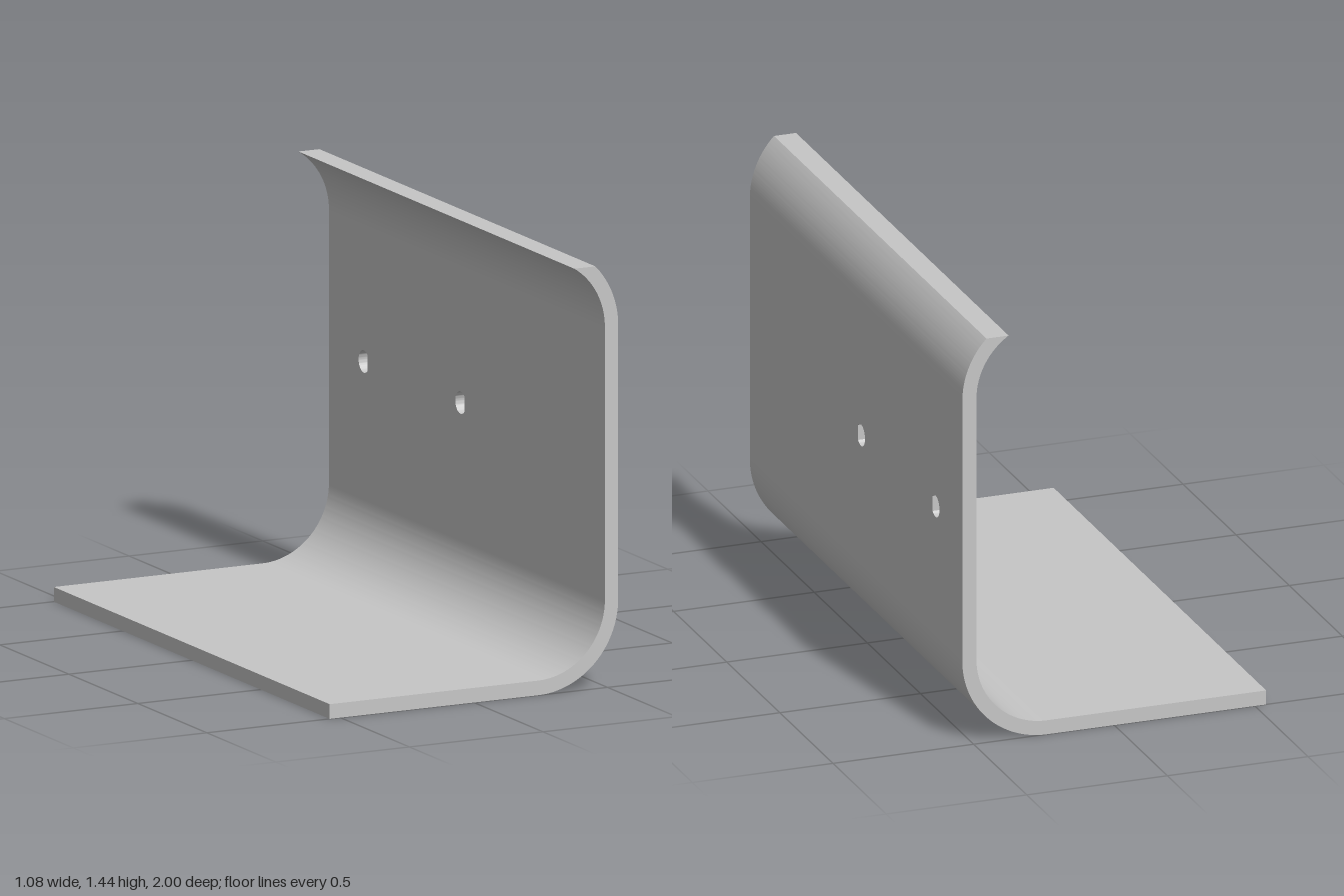
import * as THREE from 'three';
import { toCreasedNormals } from 'three/addons/utils/BufferGeometryUtils.js';

const LENGTH = 2;
const OUTER = 0.54, THICK = 0.05;      // wall's outer face and sheet thickness
const BEND_X = 0.24, R_OUT = 0.3, R_IN = 0.25;
const LOW_Y = 0.3, HIGH_Y = 1.23, TOP_Y = 1.44;

export function createModel() {
  const group = new THREE.Group();
  group.name = 'bracket';
  const steel = new THREE.MeshStandardMaterial({ color: 0xc6c6c6 });
  steel.name = 'grey sheet';

  const add = (name, geometry) => {
    const mesh = new THREE.Mesh(toCreasedNormals(geometry, 0.4), steel);
    mesh.name = name;
    group.add(mesh);
  };
  // Sweeps a front profile along the full length
  const sweep = (shape) => new THREE.ExtrudeGeometry(shape, {
    depth: LENGTH, bevelEnabled: false, curveSegments: 24,
  }).translate(0, 0, -LENGTH / 2);

  // Flat base running into the lower bend
  const base = new THREE.Shape();
  base.moveTo(-OUTER, 0);
  base.lineTo(BEND_X, 0);
  base.absarc(BEND_X, LOW_Y, R_OUT, -Math.PI / 2, 0, false);
  base.lineTo(BEND_X + R_IN, LOW_Y);
  base.absarc(BEND_X, LOW_Y, R_IN, 0, -Math.PI / 2, true);
  base.lineTo(-OUTER, THICK);
  base.closePath();
  add('baseAndBend', sweep(base));

  // Curled upper lip, cut off level at the top
  const rise = TOP_Y - HIGH_Y;
  const lip = new THREE.Shape();
  lip.moveTo(OUTER, HIGH_Y);
  lip.absarc(BEND_X, HIGH_Y, R_OUT, 0, Math.asin(rise / R_OUT), false);
  lip.absarc(BEND_X, HIGH_Y, R_IN, Math.asin(rise / R_IN), 0, true);
  lip.closePath();
  add('upperLip', sweep(lip));

  // Upright wall drawn in z and y, with two teardrop holes pointing to the front
  const wall = new THREE.Shape();
  wall.moveTo(-LENGTH / 2, LOW_Y);
  wall.lineTo(LENGTH / 2, LOW_Y);
  wall.lineTo(LENGTH / 2, HIGH_Y);
  wall.lineTo(-LENGTH / 2, HIGH_Y);
  wall.closePath();
  const holeR = 0.038, holeY = 0.763;
  for (const z of [-0.046, -0.747]) {
    const hole = new THREE.Path();
    hole.moveTo(z + holeR * Math.SQRT2, holeY);
    hole.absarc(z, holeY, holeR, Math.PI / 4, Math.PI * 7 / 4, false);
    hole.closePath();
    wall.holes.push(hole);
  }
  const wallGeometry = new THREE.ExtrudeGeometry(wall, {
    depth: THICK, bevelEnabled: false, curveSegments: 24,
  });
  wallGeometry.rotateY(-Math.PI / 2).translate(OUTER, 0, 0);
  add('wall', wallGeometry);

  return group;
}
